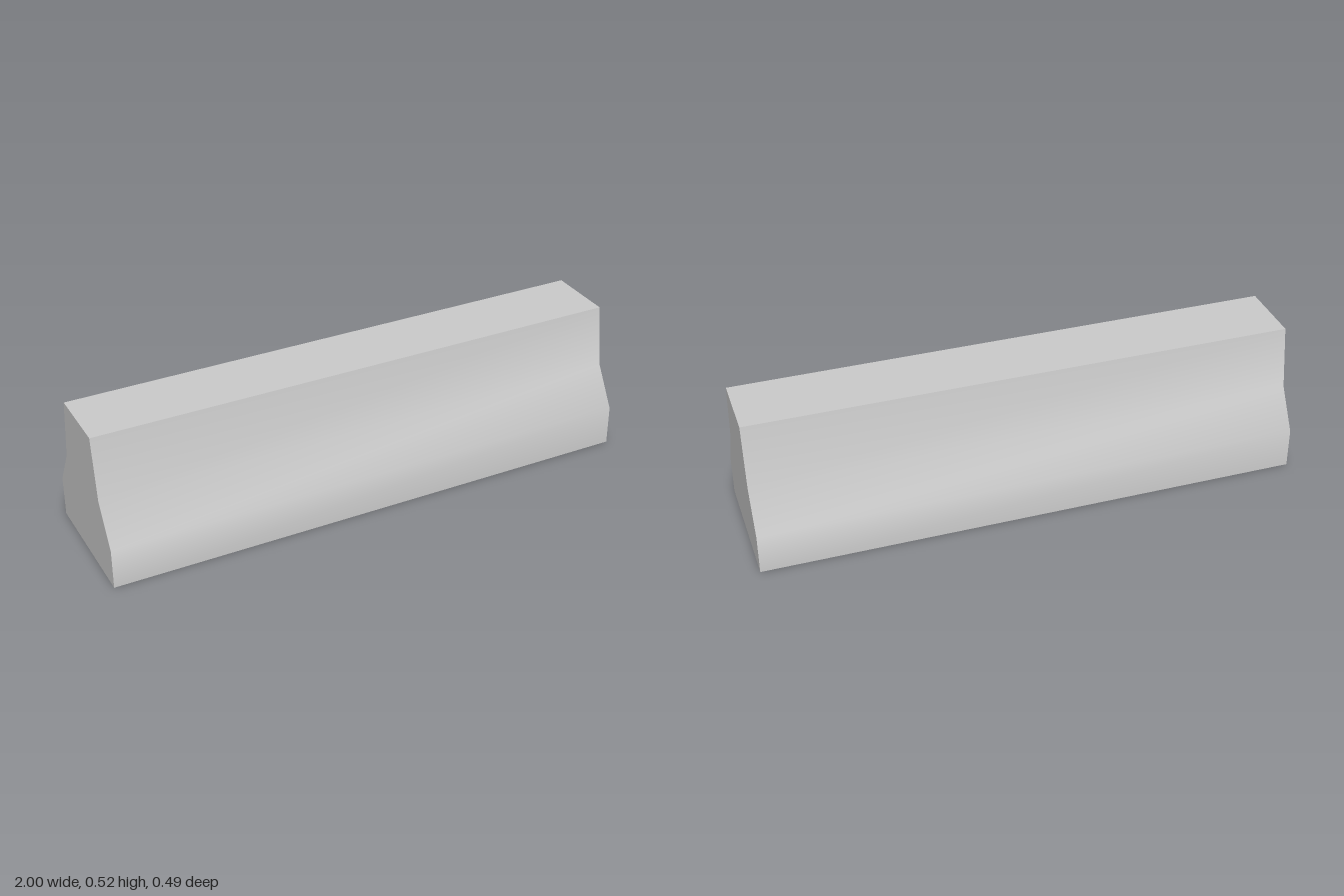
import * as THREE from 'three';

const LENGTH = 2;
// Half profile from top to base: [half depth, height]
const PROFILE = [[0.127, 0.525], [0.16, 0.296], [0.246, 0.15], [0.246, 0]];

// Smooth-shaded long side: a plane whose rows follow the profile
function sideGeometry() {
  const geometry = new THREE.PlaneGeometry(LENGTH, 1, 1, PROFILE.length - 1);
  const position = geometry.attributes.position;
  for (let i = 0; i < position.count; i++) {
    const [z, y] = PROFILE[Math.floor(i / 2)];
    position.setY(i, y);
    position.setZ(i, z);
  }
  geometry.computeVertexNormals();
  return geometry;
}

// Flat end outline, mirrored about the centre line
function endGeometry() {
  const right = PROFILE.map(([z, y]) => new THREE.Vector2(z, y));
  const left = PROFILE.map(([z, y]) => new THREE.Vector2(-z, y)).reverse();
  return new THREE.ShapeGeometry(new THREE.Shape([...right, ...left]));
}

export function createModel() {
  const barrier = new THREE.Group();
  barrier.name = 'barrier';
  const material = new THREE.MeshStandardMaterial({ color: 0xcccccc });

  const add = (name, geometry) => {
    const mesh = new THREE.Mesh(geometry, material);
    mesh.name = name;
    barrier.add(mesh);
    return mesh;
  };

  // Sloping long sides
  add('frontSide', sideGeometry());
  add('backSide', sideGeometry()).rotation.y = Math.PI;

  // End faces
  for (const [name, s] of [['leftEnd', 1], ['rightEnd', -1]]) {
    const end = add(name, endGeometry());
    end.rotation.y = s * Math.PI / 2;
    end.position.x = s * LENGTH / 2;
  }

  // Flat top and underside
  const [topDepth, topHeight] = PROFILE[0];
  const top = add('top', new THREE.PlaneGeometry(LENGTH, topDepth * 2));
  top.rotation.x = -Math.PI / 2;
  top.position.y = topHeight;

  const baseDepth = PROFILE[PROFILE.length - 1][0];
  add('underside', new THREE.PlaneGeometry(LENGTH, baseDepth * 2)).rotation.x = Math.PI / 2;

  return barrier;
}
